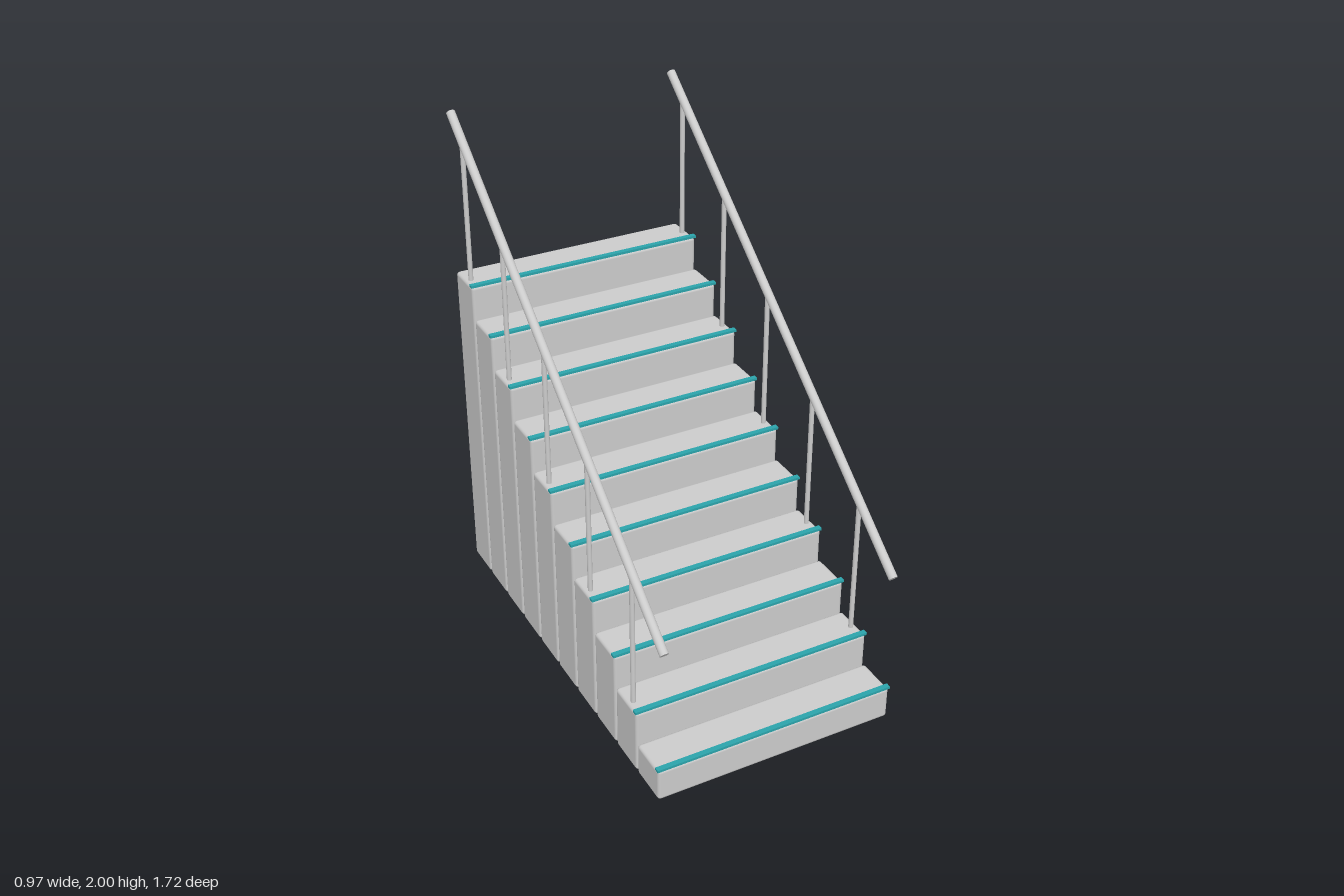
import * as THREE from 'three';
import { RoundedBoxGeometry } from 'three/addons/geometries/RoundedBoxGeometry.js';

const STEPS = 10, RISE = 0.1338, RUN = 0.1704, DEPTH = 0.165, WIDTH = 0.967;
const RAIL_X = 0.46;

const stepZ = (i) => (4.5 - i) * RUN;
const stepTop = (i) => (i + 1) * RISE;
const railY = (z) => 1.318 - z * RISE / RUN;

export function createModel() {
  const model = new THREE.Group();
  model.name = 'staircase';
  const grey = new THREE.MeshStandardMaterial({ color: 0xcccccc });
  const teal = new THREE.MeshStandardMaterial({ color: 0x2ba3ab });

  const add = (parent, name, geometry, material) => {
    const mesh = new THREE.Mesh(geometry, material);
    mesh.name = name;
    parent.add(mesh);
    return mesh;
  };

  // Round bar between two points
  const bar = (parent, name, a, b, radius) => {
    const dir = b.clone().sub(a);
    const mesh = add(parent, name, new THREE.CylinderGeometry(radius, radius, dir.length(), 16), grey);
    mesh.position.copy(a).add(b).multiplyScalar(0.5);
    mesh.quaternion.setFromUnitVectors(new THREE.Vector3(0, 1, 0), dir.normalize());
  };

  // Full-height step blocks, each with a coloured strip on its front edge
  for (let i = 0; i < STEPS; i++) {
    const top = stepTop(i), z = stepZ(i);
    const block = add(model, 'step', new RoundedBoxGeometry(WIDTH, top, DEPTH, 2, 0.013), grey);
    block.position.set(0, top / 2, z);
    const strip = add(model, 'nosingStrip', new THREE.BoxGeometry(0.973, 0.01, 0.021), teal);
    strip.position.set(0, top + 0.004, z + DEPTH / 2 - 0.0095);
  }

  // Handrails with a post on every second step
  for (const side of [-1, 1]) {
    const railing = new THREE.Group();
    railing.name = side > 0 ? 'leftRailing' : 'rightRailing';
    const point = (y, z) => new THREE.Vector3(side * RAIL_X, y, z);
    bar(railing, 'handrail', point(railY(0.85), 0.85), point(railY(-0.85), -0.85), 0.017);
    for (let i = 1; i < STEPS; i += 2) {
      const z = stepZ(i) + 0.014;
      bar(railing, 'post', point(stepTop(i) - 0.005, z), point(railY(z), z), 0.0095);
    }
    model.add(railing);
  }
  return model;
}
